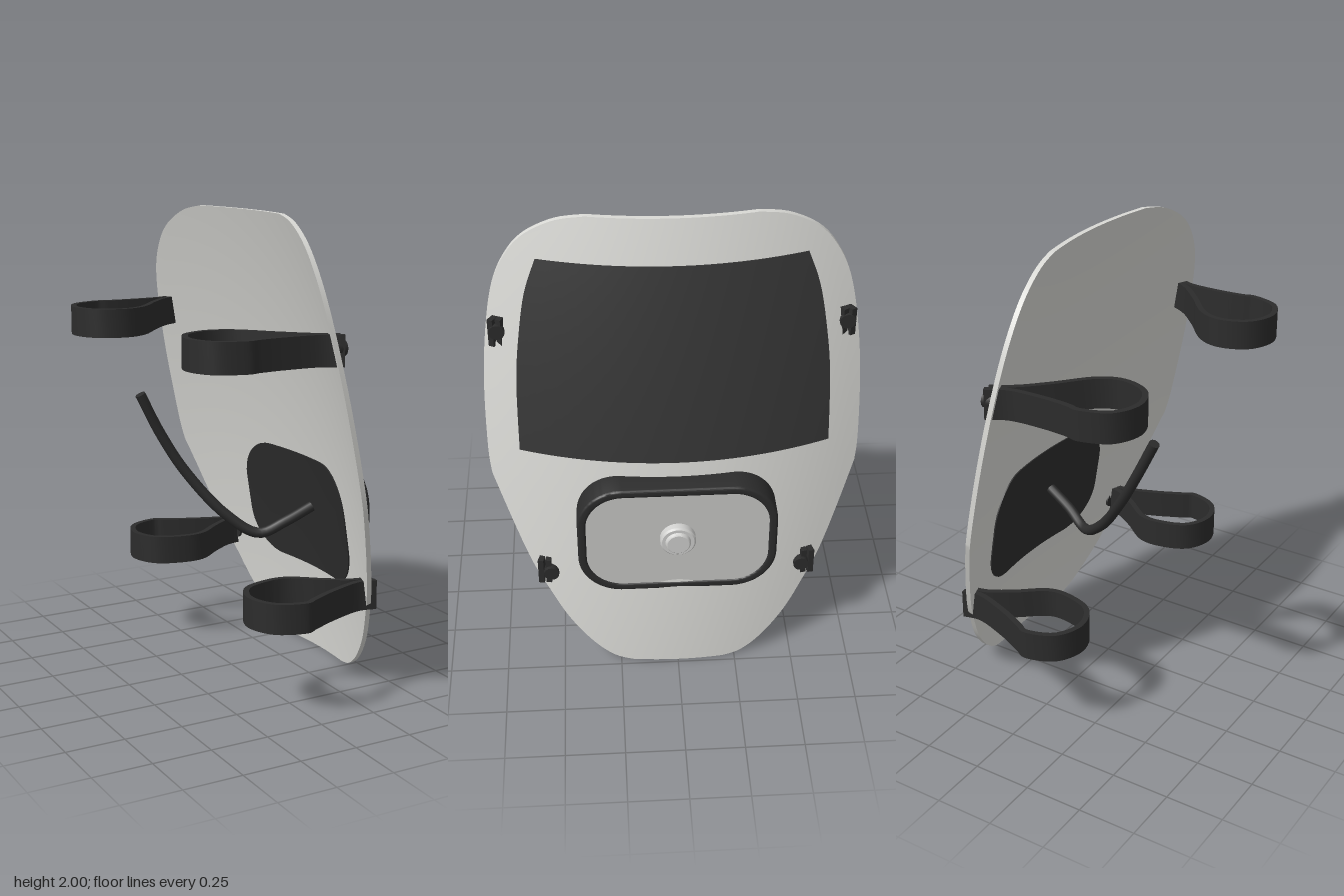
import * as THREE from 'three';
import { mergeGeometries, toCreasedNormals } from 'three/addons/utils/BufferGeometryUtils.js';

const material = (name, color, side = THREE.FrontSide) =>
  Object.assign(new THREE.MeshStandardMaterial({ color, side }), { name });

// Front surface of the shield: leaning back, bowed around the vertical axis
const surf = (y, z) => 0.485 - 0.09 * y - 0.055 * y * y - 0.3 * z * z;

// Smooth run of [half width, height] points
const spline = (pts, n) =>
  new THREE.SplineCurve(pts.map(p => new THREE.Vector2(...p))).getPoints(n).map(p => [p.x, p.y]);

// Slab following the shield surface; profile is a list of [half width, y] from bottom to top
function slab(profile, frontOffset, backOffset, cols = 32) {
  const build = (pos, idx) => {
    const g = new THREE.BufferGeometry();
    g.setAttribute('position', new THREE.Float32BufferAttribute(pos, 3));
    g.setIndex(idx);
    g.computeVertexNormals();
    return g;
  };
  const face = (offset, front) => {
    const pos = [], idx = [], n = cols + 1;
    profile.forEach(([w, y], i) => {
      for (let j = 0; j <= cols; j++) {
        const z = w * (2 * j / cols - 1);
        pos.push(surf(y, z) + offset, y, z);
        if (i && j) {
          const d = i * n + j, b = d - 1, c = d - n, a = c - 1;
          if (front) idx.push(a, b, c, b, d, c);
          else idx.push(a, c, b, b, c, d);
        }
      }
    });
    return build(pos, idx);
  };
  // Border loop: up one side, over the top, down the other side, along the bottom
  const loop = profile.map(([w, y]) => [y, w]);
  const [topW, topY] = profile[profile.length - 1], [lowW, lowY] = profile[0];
  for (let j = cols - 1; j > 0; j--) loop.push([topY, topW * (2 * j / cols - 1)]);
  [...profile].reverse().forEach(([w, y]) => loop.push([y, -w]));
  for (let j = 1; j < cols; j++) loop.push([lowY, lowW * (2 * j / cols - 1)]);
  const pos = [], idx = [];
  loop.forEach(([y, z], i) => {
    pos.push(surf(y, z) + frontOffset, y, z, surf(y, z) + backOffset, y, z);
    const f = 2 * i, b = f + 1, fn = 2 * ((i + 1) % loop.length), bn = fn + 1;
    idx.push(b, f, bn, f, fn, bn);
  });
  return mergeGeometries([face(frontOffset, true), face(backOffset, false), build(pos, idx)]);
}

// Rounded rectangle centred on the origin
function roundedRect(Type, w, h, r) {
  const s = new Type();
  s.absarc(w - r, h - r, r, 0, Math.PI / 2);
  s.absarc(r - w, h - r, r, Math.PI / 2, Math.PI);
  s.absarc(r - w, r - h, r, Math.PI, Math.PI * 1.5);
  s.absarc(w - r, r - h, r, Math.PI * 1.5, Math.PI * 2);
  s.closePath();
  return s;
}

// Band of constant thickness along a path in plan, extruded upward
function band(points, height) {
  const curve = new THREE.SplineCurve(points.map(([x, z]) => new THREE.Vector2(x, -z)));
  const left = [], right = [], n = 70, half = 0.012;
  for (let i = 0; i <= n; i++) {
    const p = curve.getPoint(i / n), t = curve.getTangent(i / n);
    left.push(new THREE.Vector2(p.x - t.y * half, p.y + t.x * half));
    right.unshift(new THREE.Vector2(p.x + t.y * half, p.y - t.x * half));
  }
  const g = new THREE.ExtrudeGeometry(new THREE.Shape([...left, ...right]), { depth: height, bevelEnabled: false });
  return toCreasedNormals(g.rotateX(-Math.PI / 2), 0.7);
}

export function createModel() {
  const model = new THREE.Group();
  const shell = material('light grey shell', 0xd9d9d5);
  const plate = material('grey plate', 0xc9c9c7);
  const metal = material('pale knob', 0xd2d2d0);
  const glass = material('dark window', 0x353535);
  const rubber = material('black rubber', 0x2c2c2c, THREE.DoubleSide);

  const add = (name, geometry, mat, parent = model) => {
    const mesh = new THREE.Mesh(geometry, mat);
    mesh.name = name;
    parent.add(mesh);
    return mesh;
  };

  // Curved shield with a tapering lower half
  const lower = spline([[0.2, 0], [0.28, 0.02], [0.37, 0.085], [0.47, 0.2], [0.55, 0.335], [0.635, 0.5], [0.77, 0.865]], 30);
  const upper = spline([[0.77, 0.865], [0.78, 0.98], [0.778, 1.26], [0.757, 1.5], [0.72, 1.69],
    [0.66, 1.82], [0.58, 1.91], [0.46, 1.975], [0.34, 2]], 40);
  add('shield', slab([...lower, ...upper.slice(1)], 0, -0.022), shell);

  // Viewing window
  const windowSide = spline([[0.645, 1.005], [0.642, 1.3], [0.622, 1.5], [0.59, 1.68], [0.54, 1.82]], 20);
  add('window', slab(windowSide, 0.004, -0.003), glass);

  // Breathing plate: rim, recessed panel, knob and rear pad
  const mask = new THREE.Group();
  mask.name = 'breathingPlate';
  model.add(mask);
  const midY = 0.665;
  const rimShape = roundedRect(THREE.Shape, 0.42, 0.275, 0.19);
  rimShape.holes.push(roundedRect(THREE.Path, 0.383, 0.238, 0.155));
  let rim = new THREE.ExtrudeGeometry(rimShape, {
    depth: 0.09, curveSegments: 12, bevelThickness: 0.01, bevelSize: 0.01, bevelOffset: -0.01, bevelSegments: 3,
  });
  rim.rotateY(Math.PI / 2).translate(0.34, midY, 0);
  const p = rim.attributes.position;
  for (let i = 0; i < p.count; i++) // rear edge follows the shield
    if (p.getX(i) < 0.39) p.setX(i, Math.min(surf(p.getY(i), p.getZ(i)) - 0.004, 0.42));
  add('plateRim', toCreasedNormals(rim, 0.6), rubber, mask);

  const panel = new THREE.ExtrudeGeometry(roundedRect(THREE.Shape, 0.39, 0.245, 0.16),
    { depth: 0.01, curveSegments: 12, bevelEnabled: false });
  add('platePanel', panel.rotateY(Math.PI / 2).translate(0.425, midY, 0), plate, mask);

  const knobProfile = [[0, 0], [0.075, 0], [0.075, 0.035], [0.068, 0.042], [0.054, 0.042], [0.05, 0.053], [0.046, 0.056], [0, 0.056]];
  const knob = new THREE.LatheGeometry(knobProfile.map(q => new THREE.Vector2(...q)), 32);
  add('knob', toCreasedNormals(knob.rotateZ(-Math.PI / 2).translate(0.428, 0.68, 0), 0.5), metal, mask);

  const padSide = [];
  for (const [cy, start] of [[0.59, -90], [0.74, 0]])
    for (let a = 0; a <= 90; a += 9) {
      const t = THREE.MathUtils.degToRad(start + a);
      padSide.push([0.22 + 0.19 * Math.cos(t), cy + 0.19 * Math.sin(t)]);
    }
  add('rearPad', slab(padSide, -0.02, -0.028), rubber, mask);

  // Hose behind the plate
  const hosePath = new THREE.CatmullRomCurve3([[0.36, 0.7, 0.08], [0.24, 0.64, 0.055], [0.13, 0.592, 0.01], [0, 0.68, -0.06],
    [-0.15, 0.87, -0.145], [-0.25, 1.04, -0.18], [-0.34, 1.22, -0.19]].map(q => new THREE.Vector3(...q)));
  add('hose', new THREE.TubeGeometry(hosePath, 48, 0.023, 12), rubber);
  const cap = add('hoseEnd', new THREE.CircleGeometry(0.023, 12), rubber);
  cap.position.copy(hosePath.getPoint(1));
  cap.lookAt(hosePath.getPoint(1).add(hosePath.getTangent(1)));

  // Looped straps with their bolts, two on each side
  const loopPath = [[0.09, 0.735], [0, 0.688], [-0.15, 0.68], [-0.26, 0.688], [-0.32, 0.698], [-0.432, 0.652], [-0.478, 0.54],
    [-0.432, 0.428], [-0.32, 0.382], [-0.215, 0.42], [-0.1, 0.55], [0, 0.65], [0.09, 0.703]];
  const straps = [
    { name: 'upper', dx: 0, y: 1.44, pull: 0, bolt: [1.51, 0.71] },
    { name: 'lower', dx: 0.27, y: 0.38, pull: 0.15, bolt: [0.44, 0.54] },
  ];
  for (const { name, dx, y, pull, bolt } of straps)
    for (const side of [1, -1]) {
      const group = new THREE.Group();
      group.name = name + (side > 0 ? 'LeftStrap' : 'RightStrap');
      model.add(group);
      const path = loopPath.map(([x, z]) => [x + dx, side * (z - pull * Math.max(0, (x + 0.3) / 0.39))]);
      add('strap', band(path, 0.125).translate(0, y, 0), rubber, group);
      const head = new THREE.CylinderGeometry(0.033, 0.033, 0.05, 16).rotateZ(Math.PI / 2);
      add('bolt', head, rubber, group).position.set(surf(...bolt) + 0.003, bolt[0], side * bolt[1]);
    }

  return model;
}
